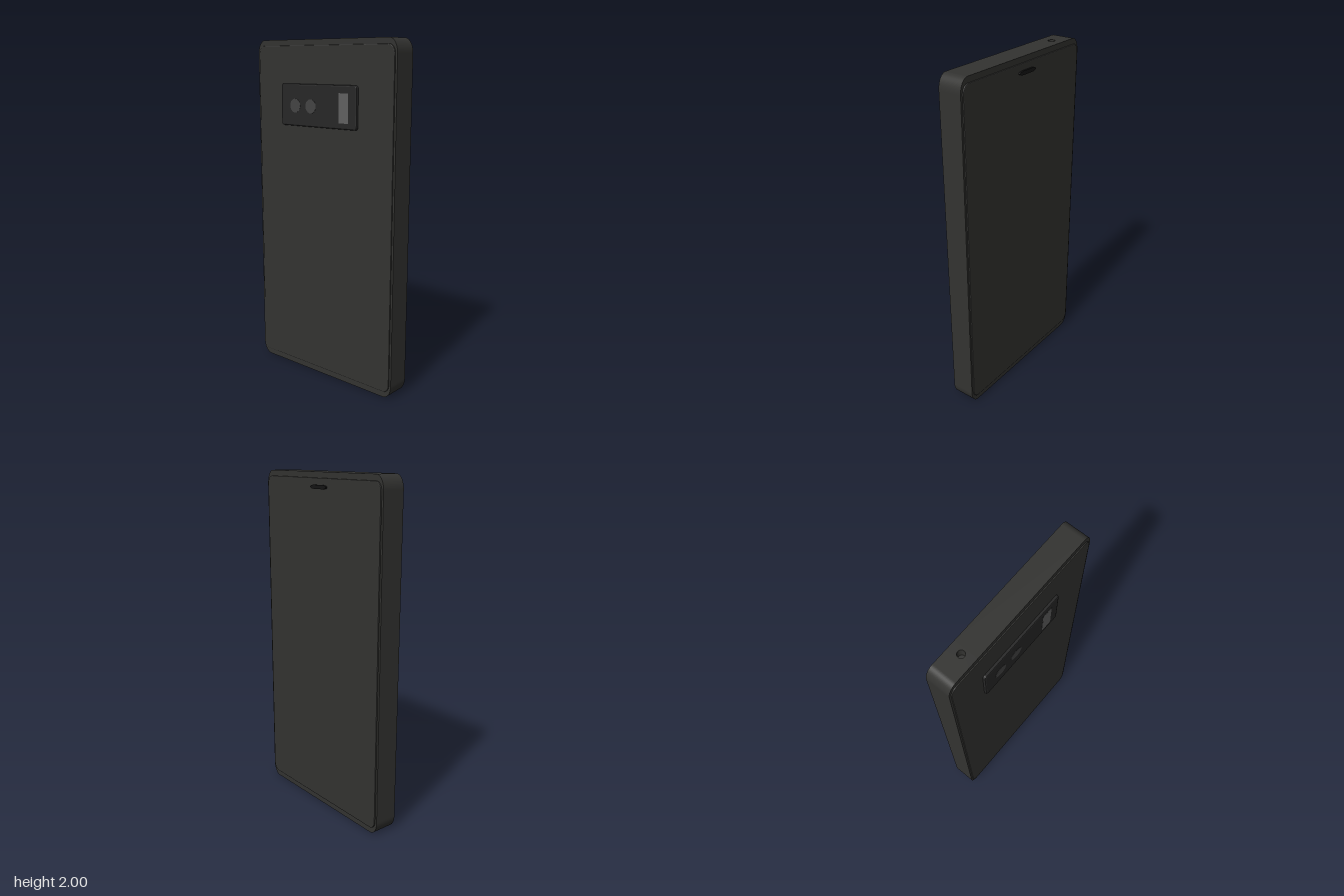
import * as THREE from 'three';

const material = (color) => new THREE.MeshStandardMaterial({ color });

// Outline with elliptical corners; an optional slot is cut into the top edge.
function outline(x0, x1, y0, y1, rx, ry, slot) {
  const s = new THREE.Shape();
  const q = Math.PI / 2;
  s.moveTo(x0 + rx, y0);
  s.lineTo(x1 - rx, y0);
  s.absellipse(x1 - rx, y0 + ry, rx, ry, -q, 0, false);
  s.lineTo(x1, y1 - ry);
  s.absellipse(x1 - rx, y1 - ry, rx, ry, 0, q, false);
  if (slot) {
    s.lineTo(slot.x1, y1);
    s.lineTo(slot.x1, y1 - slot.depth);
    s.lineTo(slot.x0, y1 - slot.depth);
    s.lineTo(slot.x0, y1);
  }
  s.lineTo(x0 + rx, y1);
  s.absellipse(x0 + rx, y1 - ry, rx, ry, q, 2 * q, false);
  s.lineTo(x0, y0 + ry);
  s.absellipse(x0 + rx, y0 + ry, rx, ry, 2 * q, 3 * q, false);
  return s;
}

// Slab between two z planes, with an optional bevel inside the given outline.
function slab(shape, z0, z1, bevel = 0) {
  const g = new THREE.ExtrudeGeometry(shape, {
    depth: z1 - z0 - 2 * bevel,
    bevelEnabled: bevel > 0,
    bevelThickness: bevel,
    bevelSize: bevel,
    bevelOffset: -bevel,
    bevelSegments: 2,
    curveSegments: 10,
  });
  g.translate(0, 0, z0 + bevel);
  return g;
}

export function createModel() {
  const root = new THREE.Group();
  root.name = 'phone';
  const shell = material(0x333331);
  const dark = material(0x272727);
  const black = material(0x141414);
  const lens = material(0x444444);
  const flash = material(0x606060);

  const add = (name, geometry, mat) => {
    const mesh = new THREE.Mesh(geometry, mat);
    mesh.name = name;
    root.add(mesh);
    return mesh;
  };

  // Frame, slotted where the socket block sits
  const slot = { x0: -0.375, x1: -0.315, depth: 0.06 };
  const zBack = -0.072, zFront = 0.066;
  add('frame', slab(outline(-0.515, 0.515, 0, 2, 0.055, 0.08, slot), zBack, zFront), shell);

  // Block filling the slot, with a round socket hole from above
  const block = new THREE.Shape([
    new THREE.Vector2(slot.x0, -zFront), new THREE.Vector2(slot.x1, -zFront),
    new THREE.Vector2(slot.x1, -zBack), new THREE.Vector2(slot.x0, -zBack),
  ]);
  block.holes.push(new THREE.Path().absarc(-0.345, 0.005, 0.02, 0, Math.PI * 2, true));
  const blockGeometry = slab(block, 0, slot.depth);
  blockGeometry.rotateX(-Math.PI / 2);
  blockGeometry.translate(0, 2 - slot.depth, 0);
  add('headphoneSocket', blockGeometry, shell);

  // Raised panels on both faces
  const panel = outline(-0.503, 0.503, 0.035, 1.967, 0.04, 0.05);
  add('cameraSidePanel', slab(panel, 0.05, 0.073, 0.004), shell);
  add('screen', slab(panel, -0.08, -0.05, 0.004), shell);

  // Camera plate with two lenses and a flash window
  add('cameraPlate', slab(outline(-0.305, 0.267, 1.51, 1.752, 0.016, 0.016), 0.065, 0.088, 0.008), dark);
  for (const x of [-0.191, -0.07]) {
    const g = new THREE.CylinderGeometry(0.04, 0.04, 0.012, 32);
    g.rotateX(Math.PI / 2);
    add('cameraLens', g, lens).position.set(x, 1.627, 0.083);
  }
  add('flashWindow', new THREE.BoxGeometry(0.068, 0.164, 0.012), flash).position.set(0.174, 1.626, 0.083);

  // Earpiece near the top of the screen
  const earpiece = outline(-0.075, 0.066, 1.908, 1.93, 0.035, 0.011);
  add('earpiece', slab(earpiece, -0.09, -0.07), black);

  return root;
}
